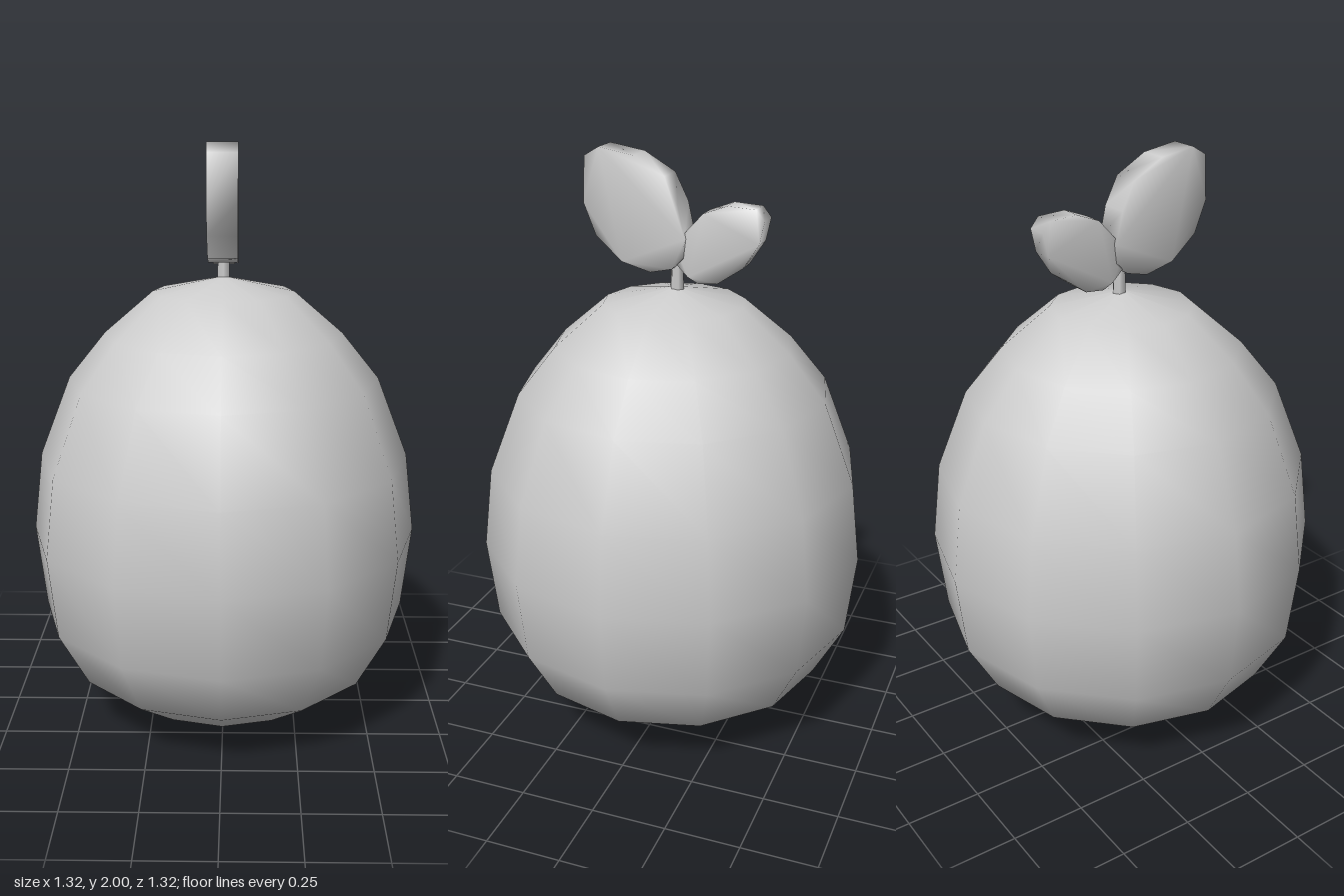
import * as THREE from 'three';
import { mergeVertices } from 'three/addons/utils/BufferGeometryUtils.js';

const material = new THREE.MeshStandardMaterial({ color: 0xcccccc });

const part = (name, geometry) => {
  const mesh = new THREE.Mesh(geometry, material);
  mesh.name = name;
  return mesh;
};

// Flat slab from a (z, y) outline, centred across x, with soft pillowy shading
function leafGeometry(outline, thickness) {
  const shape = new THREE.Shape(outline.map(([z, y]) => new THREE.Vector2(z, y)));
  const slab = new THREE.ExtrudeGeometry(shape, { depth: thickness, bevelEnabled: false });
  slab.translate(0, 0, -thickness / 2).rotateY(-Math.PI / 2);
  slab.deleteAttribute('normal');
  slab.deleteAttribute('uv');
  const smooth = mergeVertices(slab, 1e-4);
  smooth.computeVertexNormals();
  return smooth;
}

export function createModel() {
  const group = new THREE.Group();
  group.name = 'fruit';

  // Twelve-sided egg-shaped body
  const profile = [
    [0, 0.005], [0.335, 0.075], [0.525, 0.2], [0.63, 0.39], [0.662, 0.67],
    [0.63, 0.94], [0.525, 1.21], [0.4, 1.365], [0.237, 1.505], [0, 1.556],
  ].map(([r, y]) => new THREE.Vector2(r, y));
  group.add(part('body', new THREE.LatheGeometry(profile, 12)));

  // Short stem
  const stem = part('stem', new THREE.CylinderGeometry(0.02, 0.024, 0.15, 6));
  stem.position.set(0, 1.6, -0.01);
  group.add(stem);

  // Large leaf leaning forward
  group.add(part('largeLeaf', leafGeometry([
    [-0.01, 1.625], [0.065, 1.608], [0.165, 1.635], [0.255, 1.715], [0.297, 1.82],
    [0.29, 1.97], [0.24, 2], [0.12, 1.98], [0.015, 1.92], [-0.03, 1.83],
    [-0.053, 1.725], [-0.045, 1.66],
  ], 0.098)));

  // Small leaf leaning back
  group.add(part('smallLeaf', leafGeometry([
    [-0.02, 1.64], [-0.06, 1.6], [-0.095, 1.582], [-0.16, 1.587], [-0.245, 1.645],
    [-0.297, 1.725], [-0.313, 1.8], [-0.285, 1.835], [-0.19, 1.84], [-0.11, 1.81],
    [-0.045, 1.74], [-0.02, 1.69],
  ].reverse(), 0.074)));

  return group;
}
